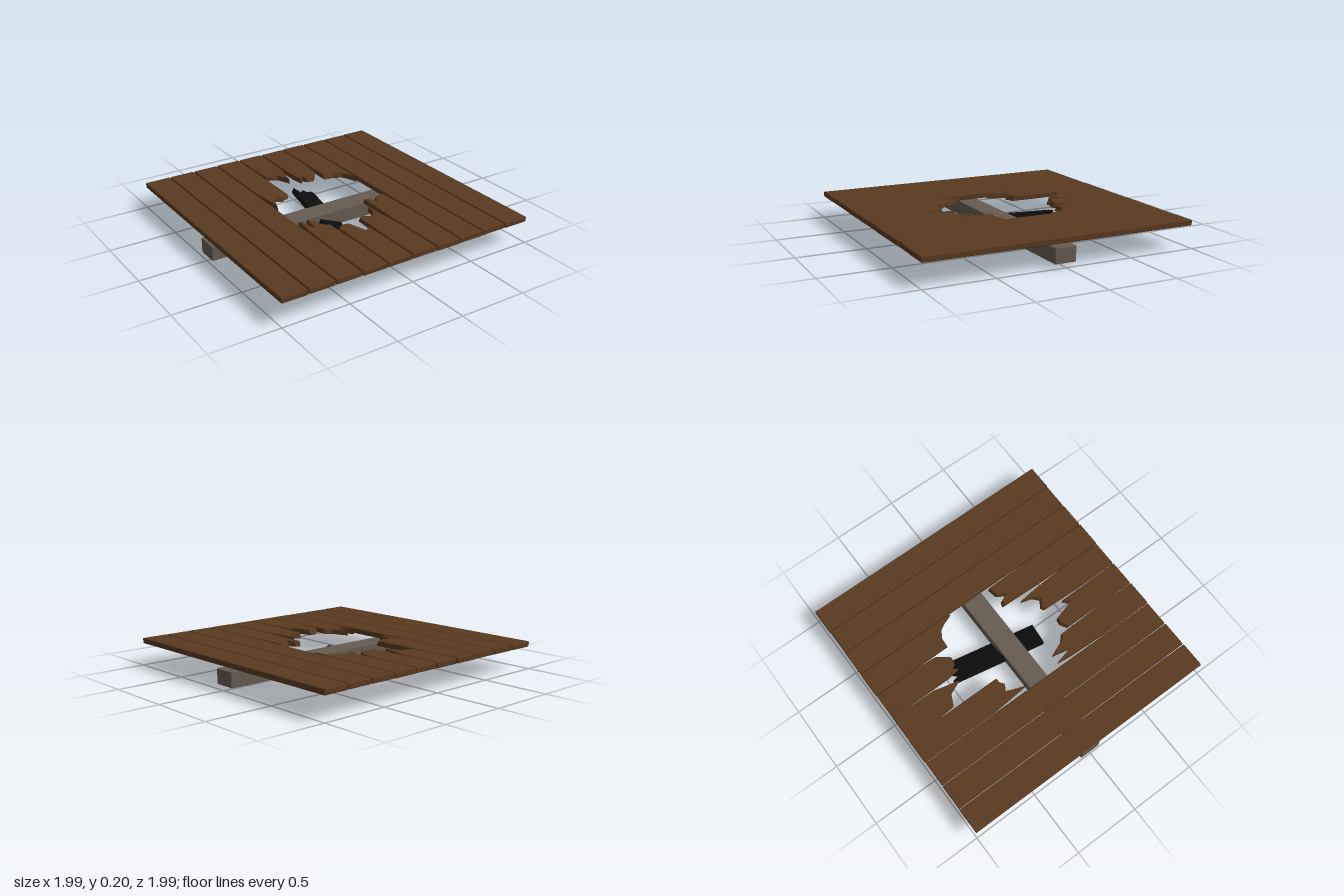
import * as THREE from 'three';
import { RoundedBoxGeometry } from 'three/addons/geometries/RoundedBoxGeometry.js';

const wood = new THREE.MeshStandardMaterial({ color: 0x5a3a20 });
const beamWood = new THREE.MeshStandardMaterial({ color: 0x665c50 });
const charred = new THREE.MeshStandardMaterial({ color: 0x0d0d0d });

const HALF = 0.095; // half a board's width
const THICK = 0.04;

// A board from an outline of [x, z] points, lying flat with its underside at y = 0.
function board(name, outline, material) {
  const shape = new THREE.Shape(outline.map(([x, z]) => new THREE.Vector2(x, -z)));
  const bevel = 0.004;
  const geometry = new THREE.ExtrudeGeometry(shape, {
    depth: THICK - 2 * bevel, bevelSize: bevel, bevelThickness: bevel,
    bevelOffset: -bevel, bevelSegments: 1,
  });
  geometry.translate(0, 0, bevel);
  geometry.rotateX(-Math.PI / 2);
  const mesh = new THREE.Mesh(geometry, material);
  mesh.name = name;
  return mesh;
}

// Lower edge of a torn end sticks out a little further, so the break slopes.
function slopeBreak(mesh, side) {
  const p = mesh.geometry.attributes.position;
  for (let i = 0; i < p.count; i++) {
    if (p.getY(i) < THICK / 2 && Math.abs(p.getZ(i)) < 0.57) p.setZ(i, p.getZ(i) - side * 0.012);
  }
  mesh.geometry.computeVertexNormals();
  return mesh;
}

// Torn edges of the four middle boards, [x, z] from left to right across the floor.
const tears = [
  {
    back: [[-0.395, -0.4], [-0.37, -0.11], [-0.335, -0.21], [-0.315, -0.25], [-0.265, -0.22], [-0.235, -0.245], [-0.205, -0.245]],
    front: [[-0.395, 0.6], [-0.385, 0.32], [-0.37, 0.19], [-0.335, 0.33], [-0.305, 0.19], [-0.255, 0.31], [-0.215, 0.345], [-0.205, 0.7]],
  },
  {
    back: [[-0.195, -0.72], [-0.185, -0.6], [-0.1, -0.57], [-0.055, -0.47], [-0.035, -0.56], [-0.012, -0.65], [-0.007, -0.85]],
    front: [[-0.195, 0.42], [-0.145, 0.39], [-0.1, 0.395], [-0.055, 0.55], [-0.012, 0.51]],
  },
  {
    back: [[0.003, -0.52], [0.02, -0.42], [0.05, -0.455], [0.065, -0.42], [0.125, -0.41], [0.185, -0.49], [0.195, -0.65]],
    front: [[0.005, 0.65], [0.015, 0.37], [0.04, 0.355], [0.095, 0.39], [0.14, 0.35], [0.165, 0.265], [0.18, 0.4], [0.195, 0.65]],
  },
  {
    back: [[0.205, -0.385], [0.28, -0.38], [0.34, -0.345], [0.365, -0.3], [0.393, -0.225], [0.395, -0.4]],
    front: [[0.205, 0.5], [0.215, 0.14], [0.25, 0.15], [0.275, 0.21], [0.31, 0.15], [0.385, 0.135], [0.395, 0.5]],
  },
];

export function createModel() {
  const model = new THREE.Group();
  model.name = 'brokenFloor';

  // Floor boards: three whole ones on each side, four broken ones between
  const floor = new THREE.Group();
  floor.name = 'floorBoards';
  floor.position.y = 0.165;
  for (let i = 0; i < 10; i++) {
    const x = (i - 4.5) * 0.2;
    const a = x - HALF, b = x + HALF;
    const end = 0.995 - (i % 3) * 0.002;
    const tear = tears[i - 3];
    if (tear) {
      floor.add(slopeBreak(board('brokenBoardBack', [[b, -end], [a, -end], ...tear.back], wood), -1));
      floor.add(slopeBreak(board('brokenBoardFront', [[b, end], [a, end], ...tear.front], wood), 1));
    } else {
      floor.add(board('wholeBoard', [[a, -end], [a, end], [b, end], [b, -end]], wood));
    }
  }
  model.add(floor);

  // Cross beam beneath the boards
  const beam = new THREE.Mesh(new RoundedBoxGeometry(1.99, 0.112, 0.16, 1, 0.008), beamWood);
  beam.name = 'crossBeam';
  beam.position.y = 0.085;
  model.add(beam);

  // Fallen board, tilted, with a splintered back end
  const fallen = board('fallenBoard', [
    [-HALF, 0.345], [HALF, 0.345], [HALF, -0.37], [0.07, -0.385], [0.03, -0.35],
    [-0.01, -0.365], [-0.05, -0.306], [-0.085, -0.375], [-HALF, -0.34],
  ], charred);
  fallen.geometry.translate(0, -THICK / 2, 0);
  fallen.rotation.set(0.01, -0.19, -0.4, 'YXZ');
  fallen.position.set(-0.01, 0.058, -0.1);
  model.add(fallen);

  return model;
}
